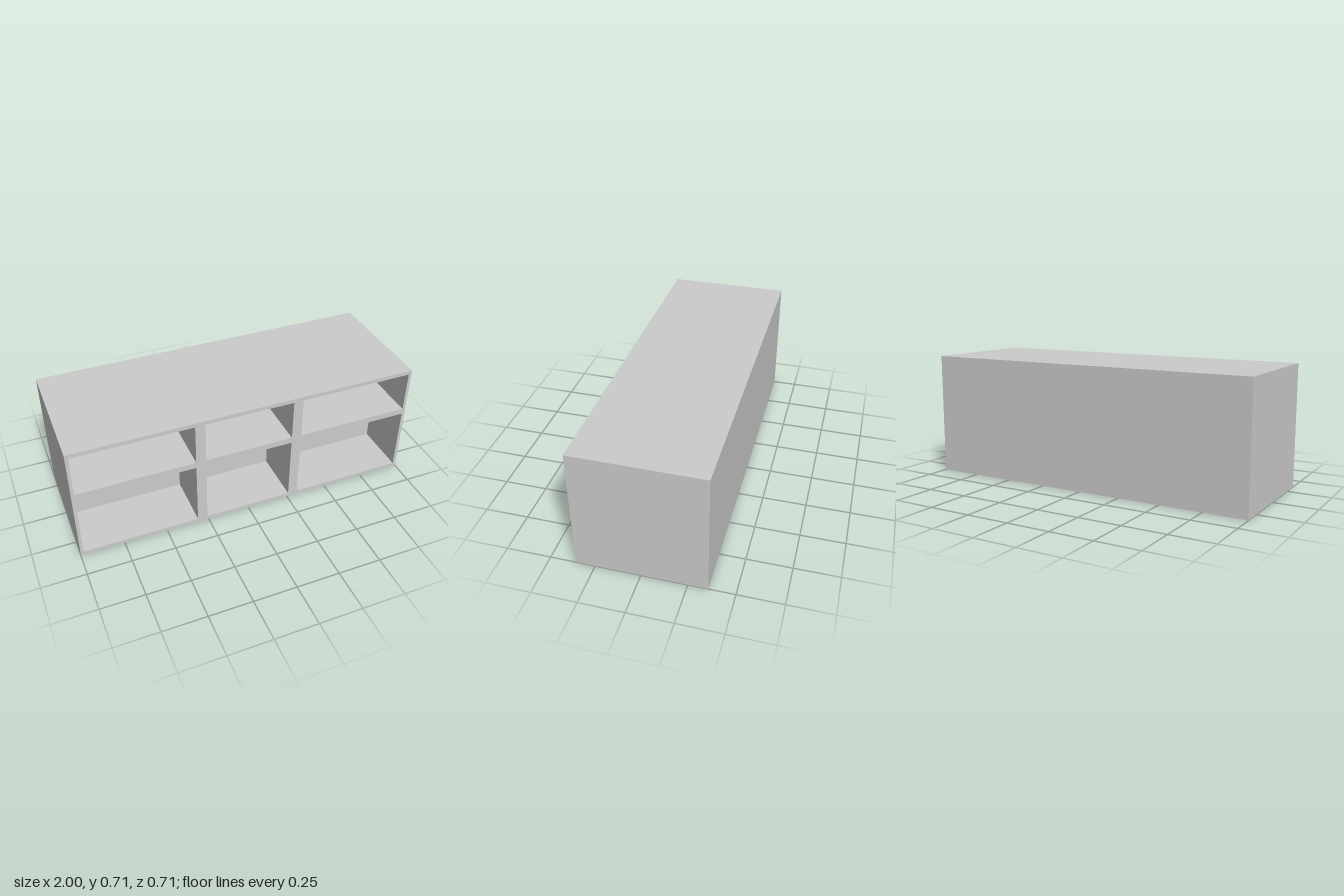
import * as THREE from 'three';

const W = 2, H = 0.714, D = 0.714;
const RECESS = 0.314; // depth of the compartments
const COLUMNS = [[-0.982, -0.315], [-0.257, 0.257], [0.315, 0.982]];
const ROWS = [[0.024, 0.411], [0.447, 0.69]];

// Box without its front (+z) face; inward = true turns it into a niche seen from inside
function openBox(w, h, d, inward) {
  const box = new THREE.BoxGeometry(w, h, d);
  const index = Array.from(box.index.array);
  index.splice(24, 6);
  if (inward) index.reverse();
  box.setIndex(index);
  const geometry = box.toNonIndexed();
  geometry.computeVertexNormals();
  return geometry;
}

function rectangle(path, x0, y0, x1, y1) {
  path.moveTo(x0, y0);
  path.lineTo(x1, y0);
  path.lineTo(x1, y1);
  path.lineTo(x0, y1);
  path.closePath();
  return path;
}

export function createModel() {
  const model = new THREE.Group();
  model.name = 'cabinet';
  const material = new THREE.MeshStandardMaterial({ color: 0xcccccc });
  const add = (name, geometry, x, y, z) => {
    const mesh = new THREE.Mesh(geometry, material);
    mesh.name = name;
    mesh.position.set(x, y, z);
    model.add(mesh);
  };

  // Outer carcass: top, bottom, sides and back
  add('carcass', openBox(W, H, D, false), 0, H / 2, 0);

  // Front frame with one opening per compartment, and the niche behind each
  const frame = rectangle(new THREE.Shape(), -W / 2, 0, W / 2, H);
  ROWS.forEach(([y0, y1], row) => {
    COLUMNS.forEach(([x0, x1], column) => {
      frame.holes.push(rectangle(new THREE.Path(), x0, y0, x1, y1));
      add(`${['lower', 'upper'][row]}${['Right', 'Middle', 'Left'][column]}Compartment`,
        openBox(x1 - x0, y1 - y0, RECESS, true),
        (x0 + x1) / 2, (y0 + y1) / 2, D / 2 - RECESS / 2);
    });
  });
  add('frontFrame', new THREE.ShapeGeometry(frame), 0, 0, D / 2);

  return model;
}
